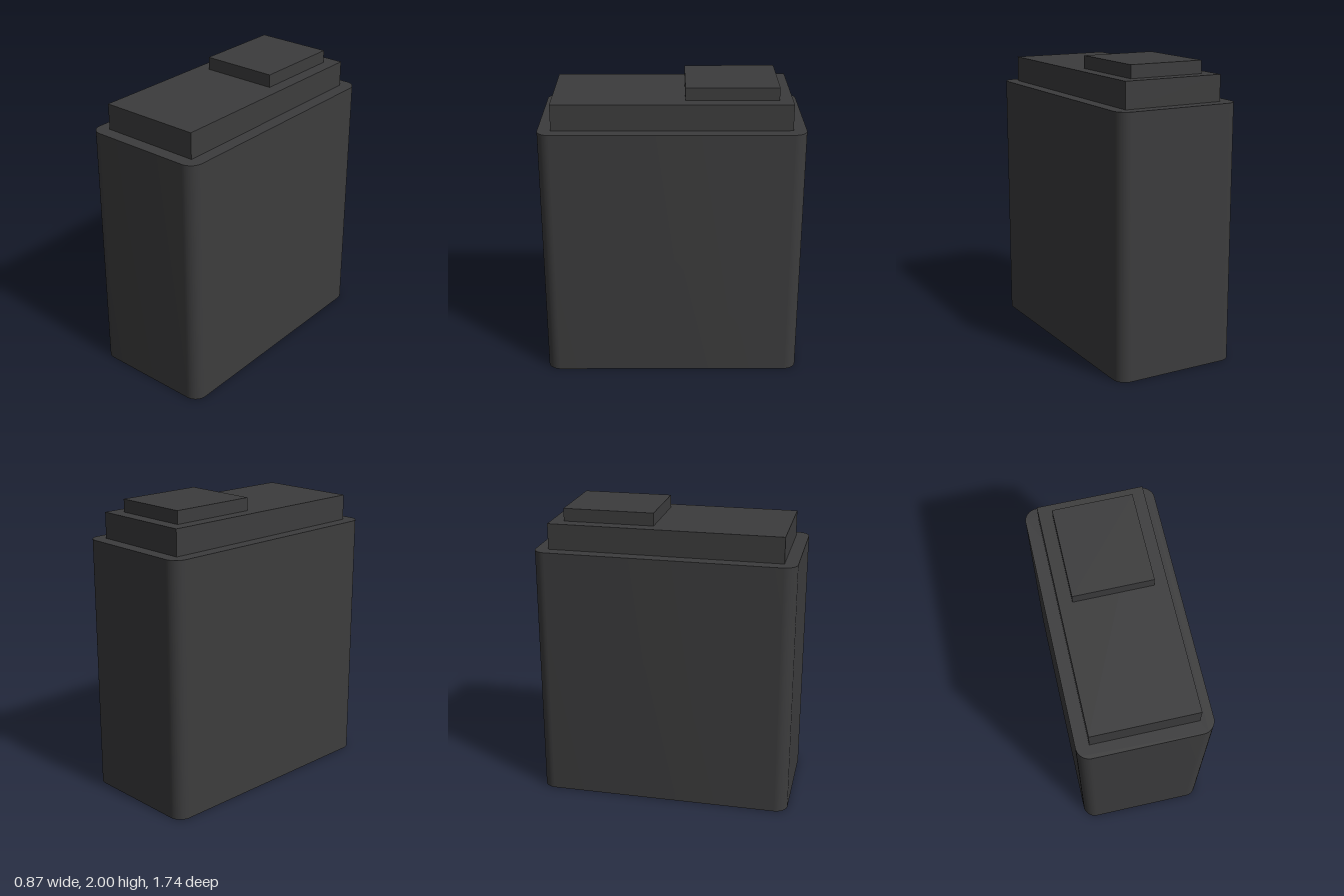
import * as THREE from 'three';
import { toCreasedNormals } from 'three/addons/utils/BufferGeometryUtils.js';

// Rectangle with rounded corners, centred on the origin
function roundedRect(w, d, r) {
  const x = w / 2, y = d / 2;
  const s = new THREE.Shape();
  s.moveTo(-x + r, -y);
  s.absarc(x - r, -y + r, r, -Math.PI / 2, 0);
  s.absarc(x - r, y - r, r, 0, Math.PI / 2);
  s.absarc(-x + r, y - r, r, Math.PI / 2, Math.PI);
  s.absarc(-x + r, -y + r, r, Math.PI, Math.PI * 1.5);
  return s;
}

export function createModel() {
  const group = new THREE.Group();
  const material = new THREE.MeshStandardMaterial({ color: 0x3c3c3d });

  function add(name, geometry, y, z = 0) {
    const mesh = new THREE.Mesh(geometry, material);
    mesh.name = name;
    mesh.position.set(0, y, z);
    group.add(mesh);
  }

  // Tall body with rounded vertical edges
  const body = new THREE.ExtrudeGeometry(roundedRect(0.87, 1.74, 0.087), {
    depth: 1.74, bevelEnabled: false, curveSegments: 12,
  });
  body.rotateX(-Math.PI / 2);
  add('body', toCreasedNormals(body, Math.PI / 6), 0);

  // Stepped top: a long plate and a small block towards the back
  add('topPlate', new THREE.BoxGeometry(0.696, 0.174, 1.565), 1.827);
  add('rearTopBlock', new THREE.BoxGeometry(0.522, 0.086, 0.609), 1.957, -0.391);

  return group;
}
